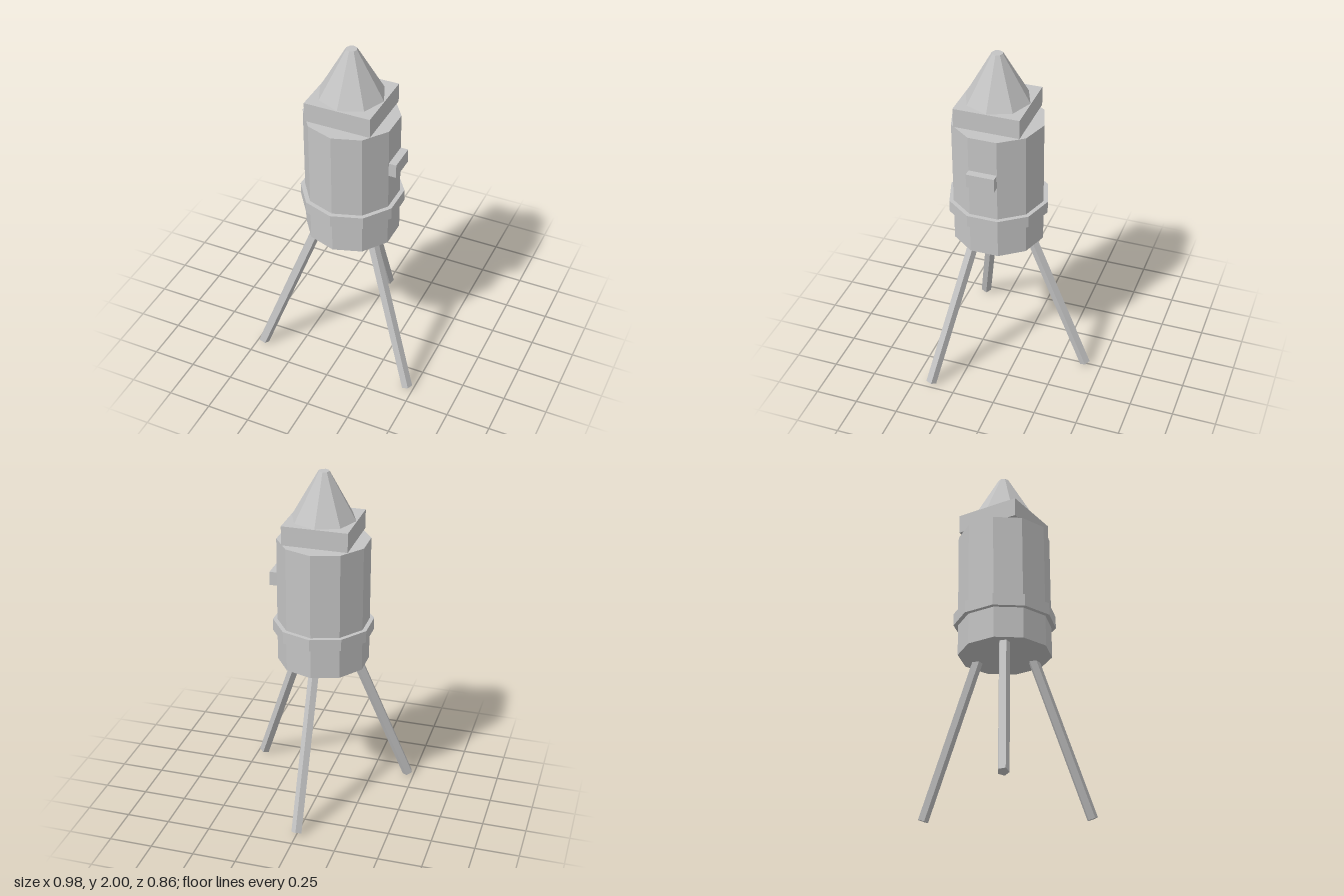
import * as THREE from 'three';

export function createModel() {
  const model = new THREE.Group();
  model.name = 'tripodTank';
  const grey = new THREE.MeshStandardMaterial({ color: 0xc4c4c4, flatShading: true });
  grey.name = 'grey';
  const axisZ = 0.133; // the tank axis sits forward of the centre

  function add(name, geometry, x, y, z) {
    const mesh = new THREE.Mesh(geometry, grey);
    mesh.name = name;
    mesh.position.set(x, y, z);
    model.add(mesh);
    return mesh;
  }

  // Upright prism or cone between two heights
  function prism(name, rTop, rBottom, y0, y1, sides) {
    return add(name, new THREE.CylinderGeometry(rTop, rBottom, y1 - y0, sides), 0, (y0 + y1) / 2, axisZ);
  }

  // Ten-sided tank with its band
  prism('tank', 0.262, 0.262, 0.87, 1.61, 10);
  prism('band', 0.287, 0.287, 1.05, 1.12, 10);

  // Square cap plate and eight-sided nose
  add('capPlate', new THREE.BoxGeometry(0.374, 0.11, 0.374), 0, 1.675, axisZ);
  prism('nose', 0.031, 0.183, 1.73, 2, 8);

  // Block on the left side
  add('sideBlock', new THREE.BoxGeometry(0.082, 0.08, 0.16), 0.251, 1.365, axisZ);

  // Three splayed five-sided legs, each with one corner towards the back
  const up = new THREE.Vector3(0, 1, 0);
  const legs = { leftLeg: Math.PI / 6, rightLeg: Math.PI * 5 / 6, backLeg: -Math.PI / 2 };
  for (const [name, angle] of Object.entries(legs)) {
    const at = (r, y) => new THREE.Vector3(r * Math.cos(angle), y, axisZ + r * Math.sin(angle));
    const foot = at(0.534, 0.012);
    const head = at(0.178, 0.89);
    const along = head.clone().sub(foot);
    const geometry = new THREE.CylinderGeometry(0.0315, 0.0315, along.length(), 5, 1, false, Math.PI);
    const mid = foot.clone().add(head).multiplyScalar(0.5);
    const leg = add(name, geometry, mid.x, mid.y, mid.z);
    leg.quaternion.setFromUnitVectors(up, along.normalize());
  }
  return model;
}
